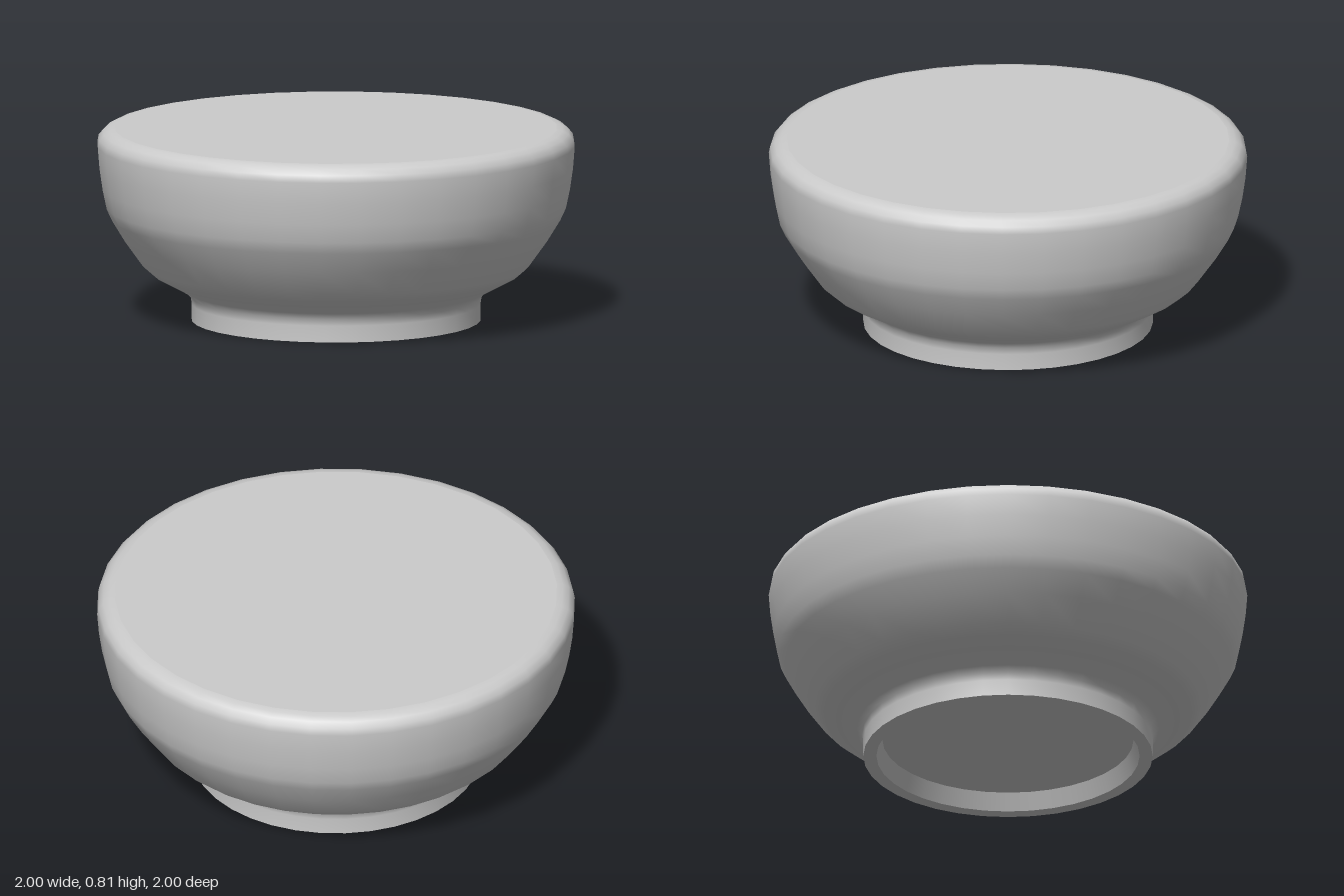
import * as THREE from 'three';

const SEGMENTS = 36;

export function createModel() {
  const bowl = new THREE.Group();
  bowl.name = 'bowl';
  const material = new THREE.MeshStandardMaterial({ color: 0xcccccc });

  // Revolve a profile; separate sections keep the edges between them sharp
  const turn = (name, profile) => {
    const points = profile.map(([r, y]) => new THREE.Vector2(r, y));
    const mesh = new THREE.Mesh(new THREE.LatheGeometry(points, SEGMENTS), material);
    mesh.name = name;
    bowl.add(mesh);
  };

  // Recessed underside and the foot ring it sits in
  turn('undersideFloor', [[0, 0.075], [0.525, 0.075]]);
  turn('footInnerWall', [[0.525, 0.075], [0.55, 0]]);
  turn('footBottom', [[0.55, 0], [0.605, 0]]);

  // Foot flaring into the rounded body and the rolled rim
  turn('body', [
    [0.605, 0], [0.605, 0.07], [0.61, 0.1], [0.63, 0.125], [0.71, 0.168],
    [0.77, 0.2], [0.81, 0.235], [0.885, 0.34], [0.94, 0.43], [0.963, 0.48],
    [0.98, 0.56], [0.993, 0.65], [1, 0.74], [0.994, 0.77], [0.975, 0.793],
    [0.95, 0.806], [0.925, 0.81],
  ]);

  // Flat closed top
  turn('top', [[0.925, 0.81], [0, 0.81]]);

  return bowl;
}
